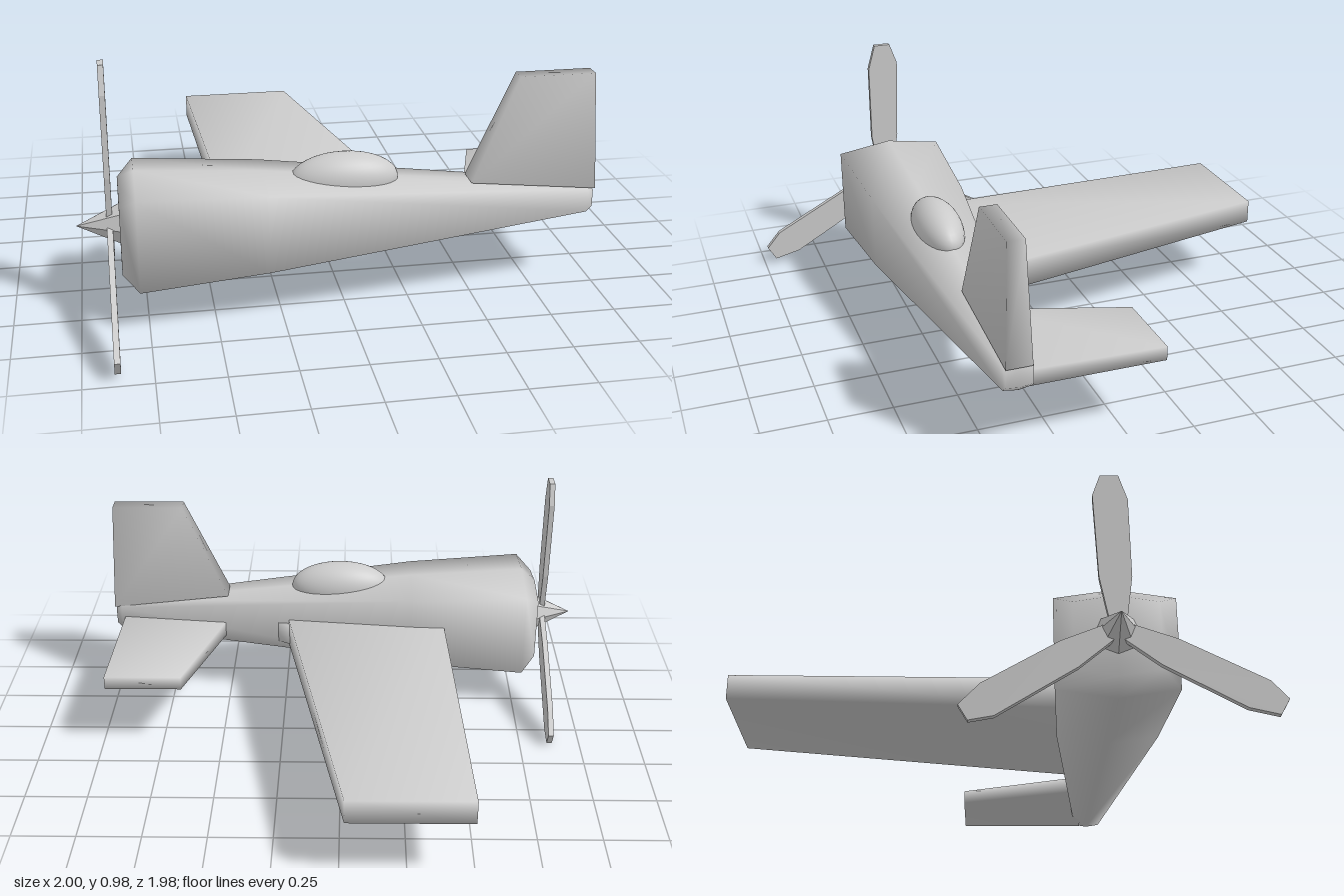
import * as THREE from 'three';

const AXIS_Y = 0.365, AXIS_Z = 0.42;
const grey = new THREE.MeshStandardMaterial({ color: 0xcccccc });
const flatGrey = new THREE.MeshStandardMaterial({ color: 0xcccccc, flatShading: true });

// Smooth closed skin through rings that run counter-clockwise about the loft direction
function loft(rings) {
  const n = rings[0].length, last = (rings.length - 1) * n, index = [];
  for (let i = 0; i < rings.length - 1; i++) {
    for (let j = 0; j < n; j++) {
      const k = (j + 1) % n, a = i * n + j, b = i * n + k;
      index.push(a, b, b + n, a, b + n, a + n);
    }
  }
  for (let j = 1; j < n - 1; j++) {
    index.push(0, j + 1, j, last, last + j, last + j + 1);
  }
  const geometry = new THREE.BufferGeometry();
  geometry.setAttribute('position', new THREE.Float32BufferAttribute(rings.flat(2), 3));
  geometry.setIndex(index);
  geometry.computeVertexNormals();
  return geometry;
}

// Six-sided fuselage frame with shallow ridges on top and bottom
function frame([x, bottom, top, halfWidth]) {
  const ridge = (top - bottom) * 0.08;
  const z0 = AXIS_Z - halfWidth, z1 = AXIS_Z + halfWidth;
  return [
    [x, top, AXIS_Z], [x, top - ridge, z1], [x, bottom + ridge, z1],
    [x, bottom, AXIS_Z], [x, bottom + ridge, z0], [x, top - ridge, z0],
  ];
}

// Chordwise section of a wing lying towards -z
const rib = ([z, x0, x1, y0, y1]) => [[x1, y1, z], [x1, y0, z], [x0, y0, z], [x0, y1, z]];

export function createModel() {
  const model = new THREE.Group();
  const add = (name, geometry, material = grey, parent = model) => {
    const mesh = new THREE.Mesh(geometry, material);
    mesh.name = name;
    parent.add(mesh);
    return mesh;
  };

  // Fuselage: x, bottom, top, half width
  add('fuselage', loft([
    [-0.84, 0.2, 0.515, 0.155],
    [-0.78, 0.143, 0.572, 0.22],
    [-0.3, 0.178, 0.54, 0.193],
    [0.97, 0.295, 0.407, 0.055],
    [0.992, 0.318, 0.4, 0.052],
  ].map(frame)));

  // Canopy
  const canopy = add('canopy', new THREE.SphereGeometry(1, 32, 20));
  canopy.scale.set(0.21, 0.105, 0.095);
  canopy.position.set(0.01, 0.49, AXIS_Z + 0.003);

  // Wing and tailplane: z, leading x, trailing x, lower y, upper y
  add('wing', loft([
    [0.3, -0.435, 0.235, 0.265, 0.387],
    [-1, -0.49, -0.02, 0.278, 0.375],
  ].map(rib)));
  add('wingRootFillet', loft([
    [0.32, 0.1, 0.33, 0.28, 0.37],
    [0.265, 0.1, 0.235, 0.28, 0.37],
  ].map(rib)));
  add('tailplane', loft([
    [0.385, 0.487, 0.955, 0.292, 0.357],
    [-0.145, 0.655, 0.967, 0.297, 0.352],
  ].map(rib)));

  // Tail fin
  const finZ = AXIS_Z + 0.003;
  add('tailFin', loft([
    [[0.5, 0.455, finZ - 0.05], [0.5, 0.455, finZ + 0.05], [1, 0.4, finZ + 0.05], [1, 0.4, finZ - 0.05]],
    [[0.68, 0.867, finZ - 0.033], [0.68, 0.867, finZ + 0.033], [0.975, 0.867, finZ + 0.033], [0.975, 0.867, finZ - 0.033]],
  ]));

  // Propeller
  const propeller = new THREE.Group();
  propeller.name = 'propeller';
  propeller.position.set(-0.865, AXIS_Y, AXIS_Z);
  model.add(propeller);

  const spinner = add('spinner', new THREE.ConeGeometry(0.08, 0.16, 8), flatGrey, propeller);
  spinner.rotation.z = Math.PI / 2;
  spinner.position.x = -0.055;

  const outline = [
    [-0.03, 0.02], [0.03, 0.02], [0.055, 0.2], [0.053, 0.52],
    [0.022, 0.625], [-0.045, 0.625], [-0.075, 0.54], [-0.062, 0.2],
  ].map(([x, y]) => new THREE.Vector2(x, y));
  const bladeGeometry = new THREE.ExtrudeGeometry(new THREE.Shape(outline), { depth: 0.022, bevelEnabled: false });
  bladeGeometry.rotateY(-Math.PI / 2);
  for (let i = 0; i < 3; i++) {
    add('propellerBlade' + (i + 1), bladeGeometry, flatGrey, propeller).rotation.x = i * Math.PI * 2 / 3;
  }

  return model;
}
